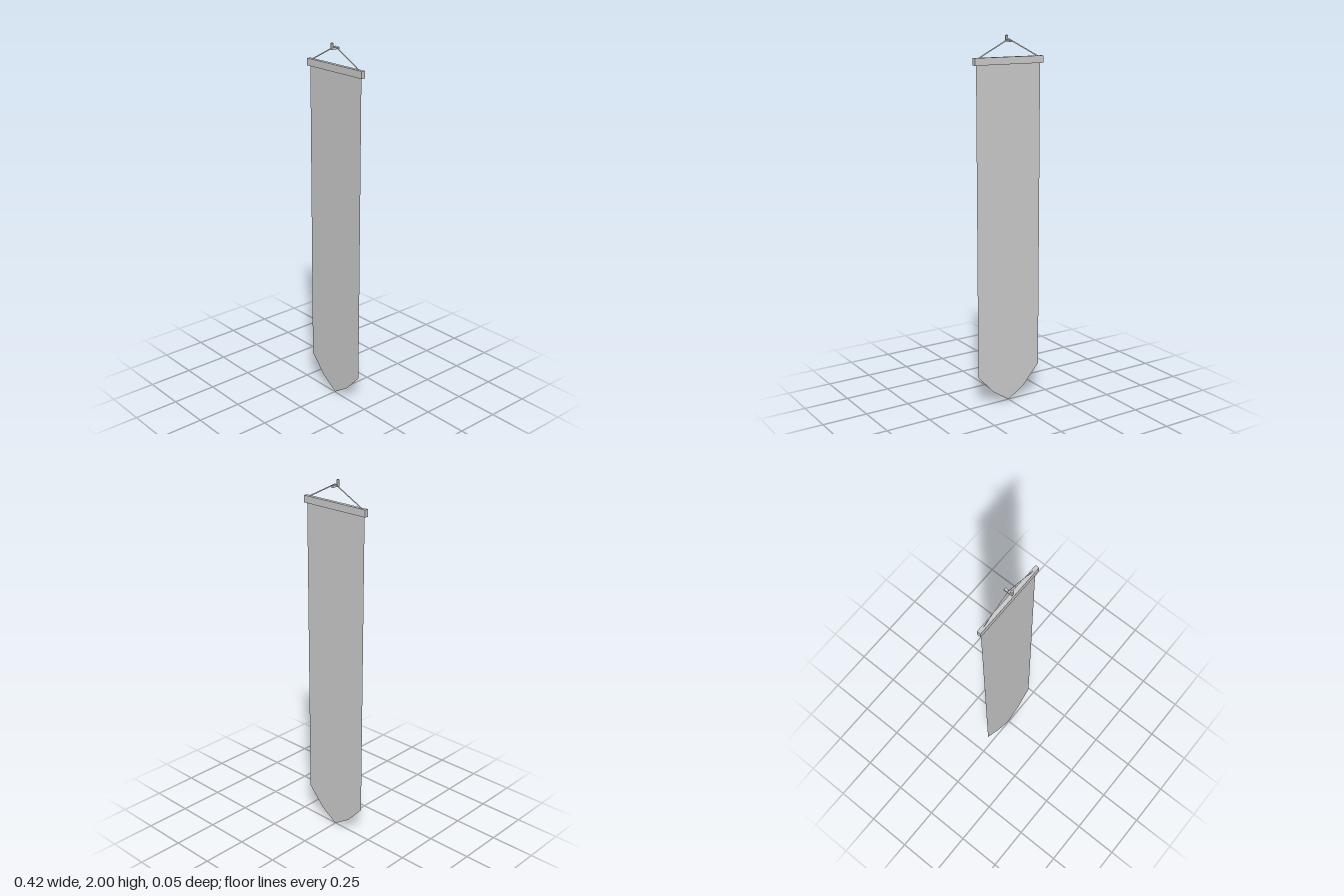
import * as THREE from 'three';

const Z = -0.003; // plane in which the banner hangs

export function createModel() {
  const group = new THREE.Group();
  const solid = new THREE.MeshStandardMaterial({ color: 0xcccccc, flatShading: true });
  const thin = new THREE.MeshStandardMaterial({ color: 0xcccccc, side: THREE.DoubleSide });

  const add = (name, geometry, material, x, y, z) => {
    const mesh = new THREE.Mesh(geometry, material);
    mesh.name = name;
    mesh.position.set(x, y, z);
    group.add(mesh);
    return mesh;
  };
  const flat = (points) =>
    new THREE.ShapeGeometry(new THREE.Shape(points.map(([x, y]) => new THREE.Vector2(x, y))));

  // Cloth with a pointed lower edge, its top tucked into the bar
  add('cloth', flat([
    [-0.197, 1.87], [-0.197, 0.172], [-0.1, 0.066], [0, 0],
    [0.1, 0.066], [0.197, 0.172], [0.197, 1.87],
  ]), thin, 0, 0, Z);

  // Crossbar
  add('crossbar', new THREE.BoxGeometry(0.42, 0.038, 0.021), solid, 0, 1.871, Z);

  // Flat hanging cords, mirrored, meeting on the hook
  const t = 0.007;
  for (const s of [-1, 1]) {
    add(s < 0 ? 'rightCord' : 'leftCord', flat([
      [0, 1.984], [0, 1.984 - t], [s * 0.18, 1.885], [s * 0.194, 1.885],
    ]), thin, 0, 0, Z);
  }

  // L-shaped wall hook: arm and upturned tip
  const side = new THREE.Shape([
    [-0.025, 1.966], [0.023, 1.966], [0.023, 2], [0.012, 2], [0.012, 1.976], [-0.025, 1.976],
  ].map(([z, y]) => new THREE.Vector2(-z, y)));
  const hook = new THREE.ExtrudeGeometry(side, { depth: 0.012, bevelEnabled: false });
  hook.translate(0, 0, -0.006).rotateY(Math.PI / 2);
  add('hook', hook, solid, 0, 0, 0);

  return group;
}
